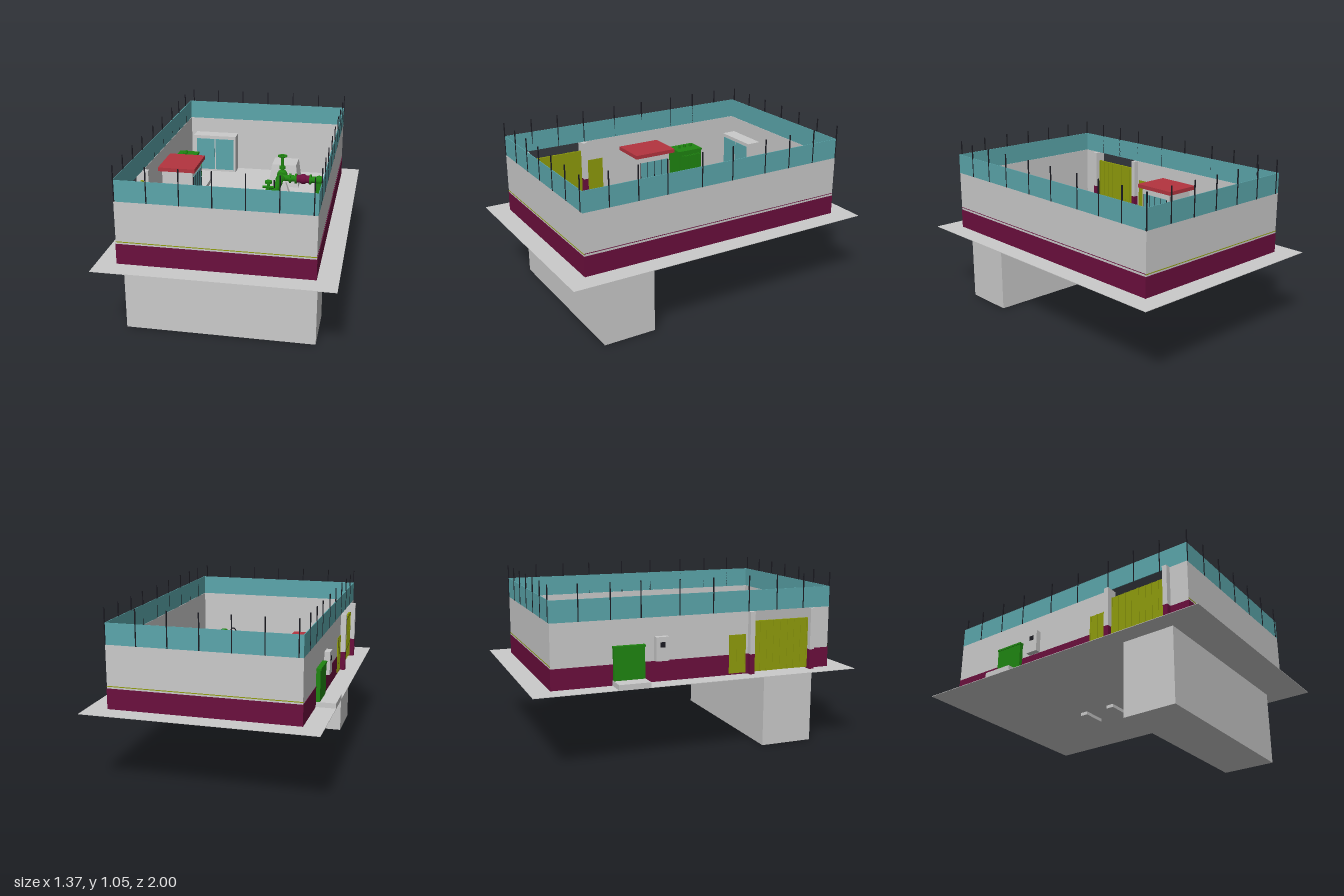
import * as THREE from 'three';

const mat = (name, color, side = THREE.FrontSide) => {
  const m = new THREE.MeshStandardMaterial({ color, side });
  m.name = name;
  return m;
};

export function createModel() {
  const grey = mat('concrete grey', 0xcacaca);
  const maroon = mat('maroon', 0x6b0f3d);
  const teal = mat('teal', 0x5ba6ab);
  const red = mat('roof red', 0xb4343f);
  const green = mat('pipe green', 0x1f8511);
  const olive = mat('gate olive', 0x8f9c0c);
  const black = mat('black', 0x1b1b22);

  const root = new THREE.Group();
  root.name = 'pumpingCompound';

  const add = (name, geo, m, parent = root) => {
    const mesh = new THREE.Mesh(geo, m);
    mesh.name = name;
    parent.add(mesh);
    return mesh;
  };
  // Box from its minimum and maximum on each axis
  const box = (name, m, x0, x1, y0, y1, z0, z1, parent) => {
    const b = add(name, new THREE.BoxGeometry(x1 - x0, y1 - y0, z1 - z0), m, parent);
    b.position.set((x0 + x1) / 2, (y0 + y1) / 2, (z0 + z1) / 2);
    return b;
  };
  // Cylinder between two points
  const rod = (name, m, a, b, r, sides = 20, parent = root) => {
    const p = new THREE.Vector3(...a), q = new THREE.Vector3(...b);
    const d = q.clone().sub(p);
    const c = add(name, new THREE.CylinderGeometry(r, r, d.length(), sides), m, parent);
    c.position.copy(p).add(q).multiplyScalar(0.5);
    c.quaternion.setFromUnitVectors(new THREE.Vector3(0, 1, 0), d.normalize());
    return c;
  };

  const G = 0.465;        // ground level
  const W = 0.84;         // wall top
  const X0 = -0.565, X1 = 0.56, Z = 0.875, T = 0.006;

  // Ground and underground chamber
  box('ground', grey, -0.684, 0.684, G - 0.003, G, -1, 1);
  box('undergroundChamber', grey, X0, X1, 0, G - 0.003, 0.44, 0.77);

  // Perimeter walls: grey panels with a maroon plinth and a thin band outside
  const e = 0.002;
  const wallZ = (name, s) => {
    const z = (a, b) => (s > 0 ? [a, b] : [-b, -a]);
    box(name, grey, X0, X1, G, W, ...z(Z - T, Z));
    box(name + 'Plinth', maroon, X0 - e, X1 + e, G, 0.587, ...z(Z, Z + e));
    box(name + 'Band', olive, X0 - e, X1 + e, 0.597, 0.602, ...z(Z, Z + 0.001));
  };
  wallZ('frontWall', 1);
  wallZ('backWall', -1);
  box('leftWall', grey, X1 - T, X1, G, W, -Z, Z);
  box('leftWallPlinth', maroon, X1, X1 + e, G, 0.587, -Z, Z);
  box('leftWallBand', maroon, X1, X1 + 0.001, 0.6, 0.604, -Z, Z);
  for (const [z0, z1] of [[-Z, 0.33], [0.75, Z]]) {
    box('rightWall', grey, X0, X0 + T, G, W, z0, z1);
    box('rightWallPlinth', maroon, X0 - e, X0, G, 0.587, z0, z1);
  }

  // Fence on top of the walls
  const F = 0.965;
  for (const s of [-1, 1]) box('fencePanel', teal, X0, X1, W, F, s * (Z - 0.002) - 0.002, s * (Z - 0.002) + 0.002);
  for (const x of [X0 + 0.002, X1 - 0.002]) box('fencePanel', teal, x - 0.002, x + 0.002, W, F, -Z, Z);
  const post = (x, z) => box('fencePost', black, x - 0.003, x + 0.003, W, 1.05, z - 0.003, z + 0.003);
  for (let i = 0; i < 7; i++) {
    post(-0.561 + 0.183 * i, Z);
    post(-0.539 + 0.183 * i, -Z);
  }
  for (const z of [0.715, 0.535, 0.35, 0.12, -0.09, -0.325, -0.505, -0.69]) {
    post(X1 - 0.001, z);
    post(X0 + 0.001, z - 0.022);
  }
  post(X1 - 0.001, -Z);

  // Gate pillars
  for (const z of [0.34, 0.745]) {
    box('gatePillarBase', maroon, -0.6, -0.525, G, 0.587, z - 0.015, z + 0.015);
    box('gatePillar', grey, -0.6, -0.525, 0.587, W, z - 0.015, z + 0.015);
  }
  // Ribbed gate leaves and side door
  const ribbed = (name, z0, z1, top, n) => {
    box(name, olive, X0 - 0.003, X0 + T + 0.002, G + 0.008, top, z0, z1);
    for (let i = 0; i <= n; i++) {
      const z = z0 + ((z1 - z0) * i) / n;
      box(name + 'Rib', olive, X0 - 0.006, X0 + T + 0.005, G + 0.008, top, z - 0.004, z + 0.004);
    }
  };
  ribbed('gateLeaf', 0.362, 0.542, 0.78, 4);
  ribbed('gateLeaf', 0.548, 0.725, 0.78, 4);
  ribbed('sideDoor', 0.205, 0.305, 0.705, 2);

  // Meter box on the wall
  box('meterBox', grey, -0.6, X0, 0.59, 0.73, -0.27, -0.19);
  box('meterWindow', black, -0.602, -0.6, 0.67, 0.7, -0.245, -0.215);

  // Transformer on its slab
  box('transformerSlab', grey, -0.684, -0.34, G, 0.495, -0.52, -0.33);
  box('transformerBody', green, -0.59, -0.425, 0.495, 0.68, -0.517, -0.333);
  box('transformerLid', green, -0.594, -0.42, 0.68, 0.692, -0.52, -0.33);
  for (let i = 0; i < 8; i++) {
    const z = -0.49 + i * 0.019;
    box('radiatorFin', green, -0.425, -0.4, 0.52, 0.66, z - 0.004, z + 0.004);
  }
  for (const z of [-0.47, -0.425, -0.38]) rod('transformerBushing', green, [-0.5, 0.69, z], [-0.5, 0.71, z], 0.01, 10);

  // Control hut
  box('hut', grey, -0.53, -0.33, G, 0.74, -0.195, 0.045);
  box('hutRoof', red, -0.55, -0.31, 0.74, 0.765, -0.225, 0.07);
  box('hutGlazing', teal, -0.33, -0.326, 0.5, 0.7, -0.18, 0.03);
  for (const z of [-0.18, -0.128, -0.075, -0.023, 0.03]) box('hutMullion', black, -0.33, -0.324, 0.5, 0.7, z - 0.0015, z + 0.0015);

  // Equipment cabinet against the back wall
  box('cabinet', grey, -0.52, -0.21, G, 0.735, -0.869, -0.77);
  for (const x of [-0.498, -0.358]) box('cabinetDoor', teal, x, x + 0.132, 0.48, 0.712, -0.77, -0.766);

  // Main pipe, turning down into the chamber at the front
  const PX = 0.175, PY = 0.565, R = 0.025;
  const path = new THREE.CurvePath();
  path.add(new THREE.LineCurve3(new THREE.Vector3(PX, PY, -0.77), new THREE.Vector3(PX, PY, 0.54)));
  path.add(new THREE.QuadraticBezierCurve3(new THREE.Vector3(PX, PY, 0.54), new THREE.Vector3(PX, PY, 0.595), new THREE.Vector3(PX, PY - 0.055, 0.595)));
  path.add(new THREE.LineCurve3(new THREE.Vector3(PX, PY - 0.055, 0.595), new THREE.Vector3(PX, G, 0.595)));
  add('mainPipe', new THREE.TubeGeometry(path, 120, R, 20), green);
  for (const z of [-0.768, -0.455, -0.4, -0.03, 0.08, 0.29, 0.375, 0.47]) {
    rod('flange', green, [PX, PY, z - 0.006], [PX, PY, z + 0.006], 0.032);
  }

  // Tapered block from a four-sided frustum, scaled to its footprint
  const taper = (name, m, x, z, w, d, y0, y1, k) => {
    const g = new THREE.CylinderGeometry(k * Math.SQRT1_2, Math.SQRT1_2, y1 - y0, 4).rotateY(Math.PI / 4).toNonIndexed();
    g.scale(w, 1, d);
    g.computeVertexNormals();
    add(name, g, m).position.set(x, (y0 + y1) / 2, z);
  };

  // Pipe supports with footings below ground
  for (const z of [-0.36, -0.145, 0.12, 0.4]) {
    box('supportFooting', grey, 0.095, 0.258, 0.44, G, z - 0.026, z + 0.026);
    taper('pipeSupport', grey, PX, z, 0.16, 0.052, G, PY, 0.55);
  }

  // Tapered thrust block around the back of the pipe
  taper('thrustBlock', grey, 0.18, -0.628, 0.212, 0.196, G, 0.62, 0.8);

  // Round valve bodies with stem and handwheel
  const valve = (z, top) => {
    const v = new THREE.Group();
    v.name = 'gateValve';
    root.add(v);
    add('valveBody', new THREE.SphereGeometry(0.036, 20, 14), green, v).position.set(PX, PY, z);
    rod('valveStem', green, [PX, PY, z], [PX, top, z], 0.011, 12, v);
    rod('valveBonnet', green, [PX, PY + 0.045, z], [PX, PY + 0.06, z], 0.022, 16, v);
    const wheel = add('handwheel', new THREE.TorusGeometry(0.028, 0.005, 8, 24), green, v);
    wheel.rotation.x = Math.PI / 2;
    wheel.position.set(PX, top - 0.01, z);
    for (const a of [0, 1]) {
      const s = a ? [0.028, 0] : [0, 0.028];
      rod('wheelSpoke', green, [PX - s[0], top - 0.01, z - s[1]], [PX + s[0], top - 0.01, z + s[1]], 0.004, 8, v);
    }
  };
  valve(-0.505, 0.71);
  valve(0.03, 0.66);
  rod('airValveStem', green, [PX, PY, 0.12], [PX, 0.735, 0.12], 0.009, 12);
  rod('airValveArms', green, [PX - 0.035, 0.7, 0.12], [PX + 0.035, 0.7, 0.12], 0.008, 12);
  rod('airValveCap', green, [PX, 0.725, 0.12], [PX, 0.74, 0.12], 0.022, 16);

  // Grey meter with a black handle
  rod('flowMeter', grey, [PX, PY, 0.3], [PX, PY, 0.365], 0.034);
  rod('flowMeterNeck', grey, [PX, PY, 0.333], [PX, 0.66, 0.333], 0.016, 16);
  box('flowMeterHead', grey, 0.153, 0.2, 0.65, 0.685, 0.312, 0.354);
  const hoop = add('flowMeterHandle', new THREE.TorusGeometry(0.018, 0.004, 8, 20, Math.PI), black);
  hoop.position.set(PX, 0.685, 0.333);

  // Drain cock beside the pipe, reaching below ground
  rod('drainArm', black, [0.11, PY, 0.272], [PX, PY, 0.272], 0.006, 10);
  rod('drainTap', green, [0.12, PY - 0.02, 0.272], [0.12, PY + 0.02, 0.272], 0.011, 12);
  box('drainBox', grey, 0.155, 0.18, 0.415, G, 0.263, 0.285);
  rod('drainRod', black, [0.168, 0.38, 0.274], [0.168, 0.415, 0.274], 0.004, 8);
  rod('pressureGauge', black, [PX, PY, -0.12], [PX, 0.66, -0.12], 0.005, 8);

  // Side branch with a maroon valve and an elbow into the ground
  const BZ = -0.437;
  rod('branchPipe', green, [PX, PY, BZ], [0.44, PY, BZ], 0.022);
  rod('branchValve', maroon, [0.285, PY, BZ], [0.375, PY, BZ], 0.027);
  add('branchValveBody', new THREE.SphereGeometry(0.035, 20, 14), maroon).position.set(0.33, PY, BZ);
  for (const x of [0.24, 0.28, 0.38]) rod('branchFlange', green, [x - 0.006, PY, BZ], [x + 0.006, PY, BZ], 0.034);
  add('branchElbow', new THREE.SphereGeometry(0.03, 20, 14), green).position.set(0.44, PY, BZ);
  rod('branchDrop', green, [0.44, G, BZ], [0.44, PY, BZ], 0.024);

  // Pump frame between two concrete plinths over the chamber
  box('pumpFrame', green, 0.105, 0.24, G, 0.5, 0.535, 0.655);
  for (const z of [0.53, 0.66]) box('frameBeam', green, 0.092, 0.265, 0.5, 0.52, z - 0.007, z + 0.007);
  rod('pumpFlange', green, [PX, 0.5, 0.595], [PX, 0.515, 0.595], 0.045);
  for (const x of [0.065, 0.295]) {
    box('framePlinth', grey, x - 0.025, x + 0.025, G, 0.53, 0.505, 0.685);
  }

  return root;
}
